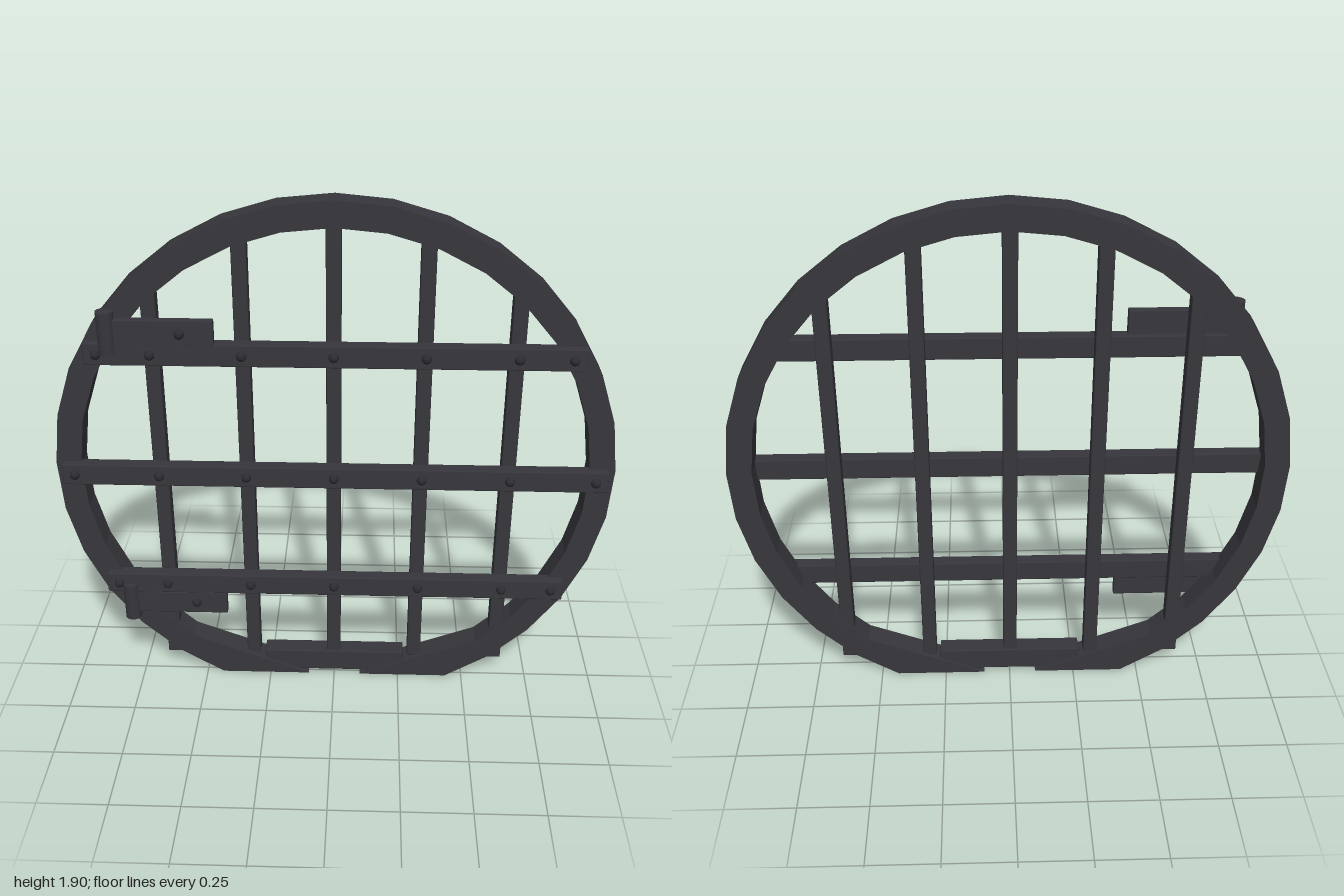
import * as THREE from 'three';
import { RoundedBoxGeometry } from 'three/addons/geometries/RoundedBoxGeometry.js';

const iron = new THREE.MeshStandardMaterial({ color: 0x37363c });
iron.name = 'dark iron';
const rivetIron = new THREE.MeshStandardMaterial({ color: 0x2c2b30 });
rivetIron.name = 'rivet iron';

const CY = 0.9; // height of the ring centre
const FRONT = 0.02; // front face of the ring
const BAR_XS = [-0.626, -0.313, 0, 0.313, 0.626];

export function createModel() {
  const model = new THREE.Group();
  model.name = 'roundGrate';

  function add(name, geometry, x, y, z, material = iron) {
    const mesh = new THREE.Mesh(geometry, material);
    mesh.name = name;
    mesh.position.set(x, y, z);
    model.add(mesh);
    return mesh;
  }
  // Box given by its limits, with tiny softened edges
  function bar(name, x0, x1, y0, y1, z0, z1) {
    const g = new RoundedBoxGeometry(x1 - x0, y1 - y0, z1 - z0, 1, 0.004);
    return add(name, g, (x0 + x1) / 2, (y0 + y1) / 2, (z0 + z1) / 2);
  }
  const rivetGeometry = new THREE.SphereGeometry(0.018, 10, 8);
  const rivet = (x, y) => add('rivet', rivetGeometry, x, y, 0.05, rivetIron);

  // Open ring, cut flat at the foot, with ends tapering to points
  const steps = 14;
  const end = Math.acos(-CY);
  const outer = [], inner = [];
  for (let i = -steps; i <= steps; i++) {
    const a = (i / steps) * end;
    outer.push(new THREE.Vector2(Math.sin(a), CY + Math.cos(a)));
    inner.push(Math.abs(i) === steps
      ? new THREE.Vector2(Math.sign(i) * 0.1, 0)
      : new THREE.Vector2(0.91 * Math.sin(a), CY + 0.91 * Math.cos(a)));
  }
  const ringShape = new THREE.Shape([...outer, ...inner.reverse()]);
  const ring = new THREE.ExtrudeGeometry(ringShape, { depth: 0.09, bevelEnabled: false });
  add('ring', ring, 0, 0, FRONT - 0.09);

  // Sill joining the two ring ends
  bar('sill', -0.27, 0.27, 0.012, 0.1, -0.06, 0.01);

  // Upright bars, reaching into the ring at the top
  for (const x of BAR_XS) {
    const top = CY + Math.sqrt(0.94 ** 2 - x * x);
    bar('uprightBar', x - 0.028, x + 0.024, 0.08, top, -0.052, 0);
  }

  // Cross straps with a rivet at each upright and at both ends
  for (const [y, half, endRivet] of [[1.37, 0.855, 0.81], [CY, 0.975, 0.93], [0.435, 0.855, 0.81]]) {
    bar('crossStrap', -half, half, y - 0.04, y + 0.04, FRONT - 0.02, 0.05);
    for (const x of [-endRivet, ...BAR_XS, endRivet]) rivet(x, y);
  }

  // Hinges mirrored about the middle strap
  for (const s of [1, -1]) {
    const leaf = new RoundedBoxGeometry(0.36, 0.092, 0.03, 1, 0.004);
    add('hingeLeaf', leaf, -0.585, CY + s * 0.55, 0.035);
    add('hingeBarrel', new THREE.CylinderGeometry(0.031, 0.031, 0.152, 12), -0.769, CY + s * 0.547, 0.037);
    rivet(-0.52, CY + s * 0.548);
  }
  return model;
}
